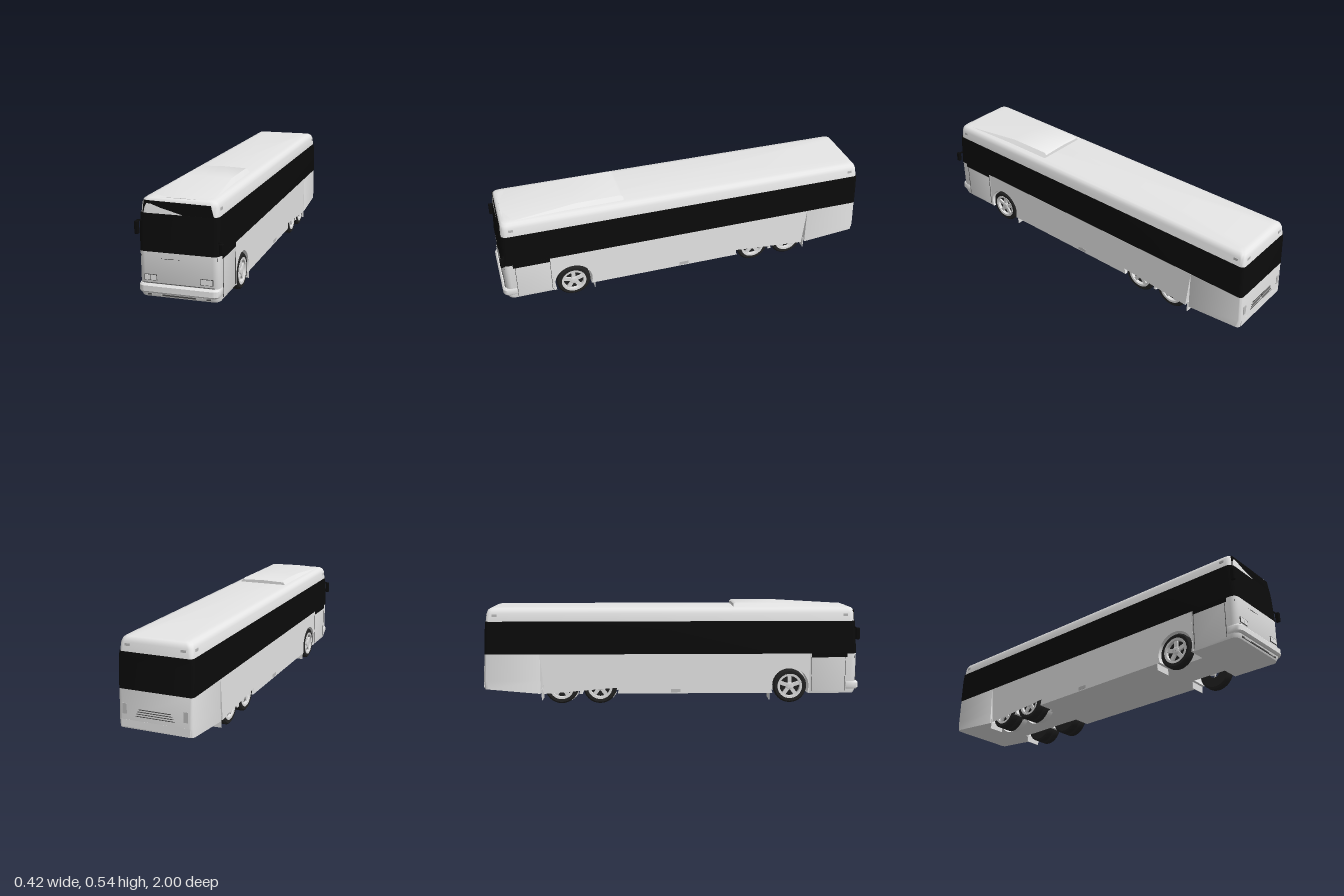
import * as THREE from 'three';
import { toCreasedNormals } from 'three/addons/utils/BufferGeometryUtils.js';
import { RoundedBoxGeometry } from 'three/addons/geometries/RoundedBoxGeometry.js';

const material = (name, color, side = THREE.FrontSide) => {
  const m = new THREE.MeshStandardMaterial({ color, side });
  m.name = name;
  return m;
};

// Closed loft of rounded-rectangle plans; level = [y, halfWidth, zFront, zBack, frontRadius, backRadius]
function loft(levels) {
  const pos = [], idx = [], steps = 5, n = 4 * (steps + 1);
  for (const [y, hw, zf, zb, rf, rb] of levels) {
    [[1, 1], [-1, 1], [-1, -1], [1, -1]].forEach(([sx, sz], k) => {
      const r = sz > 0 ? rf : rb;
      for (let i = 0; i <= steps; i++) {
        const a = (k + i / steps) * Math.PI / 2;
        pos.push(sx * (hw - r) + r * Math.cos(a), y, (sz > 0 ? zf - r : zb + r) + r * Math.sin(a));
      }
    });
  }
  const last = levels.length - 1, bottom = pos.length / 3, top = bottom + 1;
  for (const [y, , zf, zb] of [levels[0], levels[last]]) pos.push(0, y, (zf + zb) / 2);
  for (let i = 0; i < n; i++) {
    const j = (i + 1) % n;
    for (let l = 0; l < last; l++) {
      const a = l * n + i, b = l * n + j;
      idx.push(a, a + n, b, b, a + n, b + n);
    }
    idx.push(bottom, i, j, top, last * n + j, last * n + i);
  }
  const g = new THREE.BufferGeometry();
  g.setAttribute('position', new THREE.Float32BufferAttribute(pos, 3));
  g.setIndex(idx);
  return g;
}
const crease = (g) => toCreasedNormals(g, 0.6);

// Depth of the sloping nose at a given height
const noseZ = (y) => (y < 0.275 ? 0.986 : 0.986 - (y - 0.275) * 0.075);

export function createModel() {
  const paint = material('body paint', 0xe6e6e6);
  const flapPaint = material('flap paint', 0xdedede, THREE.DoubleSide);
  const glass = material('black glass', 0x0b0b0b);
  const rubber = material('tyre rubber', 0x222222);
  const alloy = material('wheel alloy', 0xdcdcdc);
  const trim = material('dark trim', 0x4a4a4a);
  const lamp = material('lamp grey', 0xbcbcbc);

  const root = new THREE.Group();
  root.name = 'coach';
  const bus = new THREE.Group();
  bus.name = 'bus';
  bus.position.x = -0.005;
  root.add(bus);

  const add = (name, geo, mat, x = 0, y = 0, z = 0, parent = bus) => {
    const m = new THREE.Mesh(geo, mat);
    m.name = name;
    m.position.set(x, y, z);
    parent.add(m);
    return m;
  };
  const box = (name, mat, w, h, d, x, y, z, parent) =>
    add(name, new THREE.BoxGeometry(w, h, d), mat, x, y, z, parent);

  const axles = [-0.587, -0.383, 0.63], wheelY = 0.097;

  // Lower body: nose, tail, core, and side panels with wheel arches
  add('noseLower', crease(loft([
    [0.058, 0.186, 0.975, 0.73, 0.03, 0.001],
    [0.075, 0.189, 0.984, 0.73, 0.03, 0.001],
    [0.275, 0.19, 0.986, 0.73, 0.03, 0.001],
  ])), paint);
  const tail = loft([
    [0.06, 0.19, -0.7, -0.995, 0.001, 0.02],
    [0.13, 0.19, -0.7, -1, 0.001, 0.02],
    [0.275, 0.19, -0.7, -0.993, 0.001, 0.02],
  ]);
  const tp = tail.attributes.position;
  for (let i = 0; i < tp.count; i++) if (tp.getY(i) < 0.061 && tp.getZ(i) < -0.9) tp.setY(i, 0.085);
  add('tailLower', crease(tail), paint);
  box('underbodyCore', paint, 0.192, 0.213, 1.45, 0, 0.1665, 0.015);

  const side = new THREE.Shape();
  side.moveTo(-0.7, 0.06);
  const archR = 0.1, dip = Math.asin((wheelY - 0.06) / archR);
  for (const z of axles) side.absarc(z, wheelY, archR, Math.PI + dip, -dip, true);
  side.lineTo(0.735, 0.06);
  side.lineTo(0.735, 0.275);
  side.lineTo(-0.7, 0.275);
  const panel = crease(new THREE.ExtrudeGeometry(side, { depth: 0.095, bevelEnabled: false, curveSegments: 20 })
    .rotateY(-Math.PI / 2));
  add('leftSidePanel', panel, paint, 0.19);
  add('rightSidePanel', panel, paint, -0.095);

  // Wrap-around window band and roof
  add('windowBand', crease(loft([
    [0.272, 0.191, 0.987, -0.994, 0.03, 0.02],
    [0.4, 0.191, 0.979, -0.988, 0.03, 0.02],
    [0.446, 0.188, 0.975, -0.985, 0.03, 0.02],
  ])), glass);
  add('roof', toCreasedNormals(loft([
    [0.445, 0.185, 0.973, -0.983, 0.03, 0.02],
    [0.488, 0.181, 0.97, -0.978, 0.03, 0.022],
    [0.506, 0.174, 0.966, -0.972, 0.03, 0.025],
    [0.514, 0.163, 0.958, -0.962, 0.03, 0.025],
    [0.517, 0.14, 0.94, -0.94, 0.03, 0.025],
  ]), 0.9), paint);

  // Windscreen plate following the slope of the nose
  const screen = new THREE.Shape([
    [-0.182, 0.245], [-0.05, 0.242], [0.182, 0.249], [0.184, 0.43],
    [0.163, 0.45], [0.15, 0.497], [0, 0.5], [-0.165, 0.503], [-0.172, 0.44], [-0.184, 0.43],
  ].map(([x, y]) => new THREE.Vector2(x, y)));
  const screenGeo = new THREE.ExtrudeGeometry(screen, { depth: 0.008, bevelEnabled: false });
  const sp = screenGeo.attributes.position;
  for (let i = 0; i < sp.count; i++) {
    const bend = Math.max(0, Math.abs(sp.getX(i)) - 0.16) * 0.55;
    sp.setZ(i, sp.getZ(i) + noseZ(sp.getY(i)) - 0.005 - bend);
  }
  screenGeo.computeVertexNormals();
  add('windscreen', screenGeo, glass);

  // Raised roof fairing, tapering forward
  const rows = [[0.33, 0.14, 0.512, 0.125, 0.535], [0.342, 0.14, 0.512, 0.12, 0.543],
    [0.58, 0.142, 0.512, 0.12, 0.541], [0.95, 0.155, 0.512, 0.145, 0.518]];
  const fp = [], fi = [];
  rows.forEach(([z, wb, yb, wt, yt]) =>
    fp.push(wb, yb, z, wt, yt - 0.004, z, 0, yt, z, -wt, yt - 0.004, z, -wb, yb, z));
  for (let r = 0; r < 3; r++) for (let c = 0; c < 4; c++) {
    const a = r * 5 + c, b = a + 5;
    fi.push(a, a + 1, b, b, a + 1, b + 1);
  }
  for (let c = 1; c < 4; c++) fi.push(0, c + 1, c, 15, 15 + c, 16 + c);
  const fairing = new THREE.BufferGeometry();
  fairing.setAttribute('position', new THREE.Float32BufferAttribute(fp, 3));
  fairing.setIndex(fi);
  add('roofFairing', crease(fairing), paint);

  // Front bumper, seams and headlamps
  add('frontBumper', crease(loft([
    [0.08, 0.188, 0.993, 0.93, 0.025, 0.001],
    [0.088, 0.192, 1, 0.93, 0.03, 0.001],
    [0.114, 0.192, 1, 0.93, 0.03, 0.001],
    [0.122, 0.189, 0.993, 0.93, 0.03, 0.001],
  ])), paint);
  box('bumperSeam', trim, 0.34, 0.002, 0.004, 0, 0.126, 0.986);
  box('lowerGrille', trim, 0.3, 0.008, 0.004, 0, 0.07, 0.981);
  for (const s of [-1, 1]) {
    box('headlampFrame', trim, 0.06, 0.028, 0.004, s * 0.133, 0.152, 0.986);
    for (const x of [0.119, 0.147]) box('headlamp', paint, 0.026, 0.024, 0.006, s * x, 0.152, 0.986);
    box('foglamp', lamp, 0.05, 0.008, 0.004, s * 0.105, 0.07, 0.983);
  }

  // Side details: doors, lower door glass, marker lamps, service hatch
  for (const s of [-1, 1]) {
    for (const z of [0.745, 0.925]) box('doorSeam', trim, 0.003, 0.2, 0.002, s * 0.19, 0.17, z);
    box('doorGlass', glass, 0.004, 0.024, 0.19, s * 0.19, 0.264, 0.84);
    for (const z of [0.92, -0.935]) box('markerLamp', lamp, 0.005, 0.013, 0.024, s * 0.182, 0.478, z);
    box('serviceHatch', lamp, 0.003, 0.018, 0.05, s * 0.19, 0.075, 0.02);
  }

  // Tail details: slatted engine grille, lamps and bumper
  const tailDetails = new THREE.Group();
  tailDetails.name = 'tailDetails';
  bus.add(tailDetails);
  for (let i = 0; i < 4; i++)
    box('engineSlat', trim, 0.2 - i * 0.012, 0.003, 0.005, 0, 0.15 + i * 0.011, -0.998, tailDetails);
  for (const s of [-1, 1]) {
    box('tailLamp', lamp, 0.022, 0.05, 0.006, s * 0.155, 0.18, -0.997, tailDetails);
    box('upperTailLamp', lamp, 0.026, 0.012, 0.006, s * 0.14, 0.478, -0.978, tailDetails);
  }
  box('rearBumper', paint, 0.35, 0.035, 0.01, 0, 0.11, -0.995, tailDetails);

  // Wheels: tyre lathe, rim, five spokes and hub
  const lathe = (pts, seg = 32) => crease(new THREE.LatheGeometry(
    pts.map(([r, y]) => new THREE.Vector2(r, y)), seg).rotateZ(-Math.PI / 2));
  const tyreGeo = lathe([[0.03, -0.022], [0.08, -0.022], [0.089, -0.015], [0.089, 0.015],
    [0.081, 0.022], [0.064, 0.021], [0.06, 0.006], [0.001, 0.006]]);
  const rimGeo = lathe([[0.066, 0.017], [0.066, 0.023], [0.054, 0.022], [0.052, 0.006]]);
  const hubGeo = lathe([[0.02, 0.006], [0.02, 0.019], [0.012, 0.022], [0.001, 0.022]], 20);
  const spokeGeo = new THREE.BoxGeometry(0.01, 0.044, 0.02).translate(0.011, 0.036, 0);
  const innerShield = new THREE.CylinderGeometry(0.097, 0.08, 0.05, 16, 1, true, Math.PI * 0.65, Math.PI * 0.7);

  const wheel = (name, s, x, z) => {
    const w = new THREE.Group();
    w.name = name;
    w.position.set(s * x, wheelY, z);
    if (s < 0) w.rotation.y = Math.PI;
    bus.add(w);
    add('tyre', tyreGeo, rubber, 0, 0, 0, w);
    add('rim', rimGeo, alloy, 0, 0, 0, w);
    add('hub', hubGeo, alloy, 0, 0, 0, w);
    for (let i = 0; i < 5; i++) add('spoke', spokeGeo, alloy, 0, 0, 0, w).rotation.x = i * Math.PI * 0.4;
  };
  for (const s of [-1, 1]) {
    for (const z of axles) {
      wheel(z > 0 ? 'frontWheel' : 'rearWheel', s, 0.167, z);
      if (z > 0) continue;
      add('innerTyre', tyreGeo, rubber, s * 0.12, wheelY, z);
      // Curved shield inboard of each twin tyre, opening downward
      const shield = add('innerShield', innerShield, flapPaint, s * 0.095, wheelY, z);
      shield.rotation.set(0, 0, -s * Math.PI / 2);
      shield.rotation.order = 'YXZ';
      shield.rotation.x = s > 0 ? Math.PI / 2 : -Math.PI / 2;
    }
    for (const z of [0.52, -0.692]) box('mudFlap', flapPaint, 0.085, 0.06, 0.004, s * 0.147, 0.055, z);
  }

  // Door mirrors on short arms, set at different heights
  for (const [x, y, h] of [[-0.195, 0.38, 0.062], [0.203, 0.31, 0.052]]) {
    add('mirror', new RoundedBoxGeometry(0.018, h, 0.022, 2, 0.005), glass, x, y, 0.985);
    box('mirrorArm', glass, 0.02, 0.006, 0.006, x - Math.sign(x) * 0.008, y + h / 2, 0.975);
  }
  return root;
}
